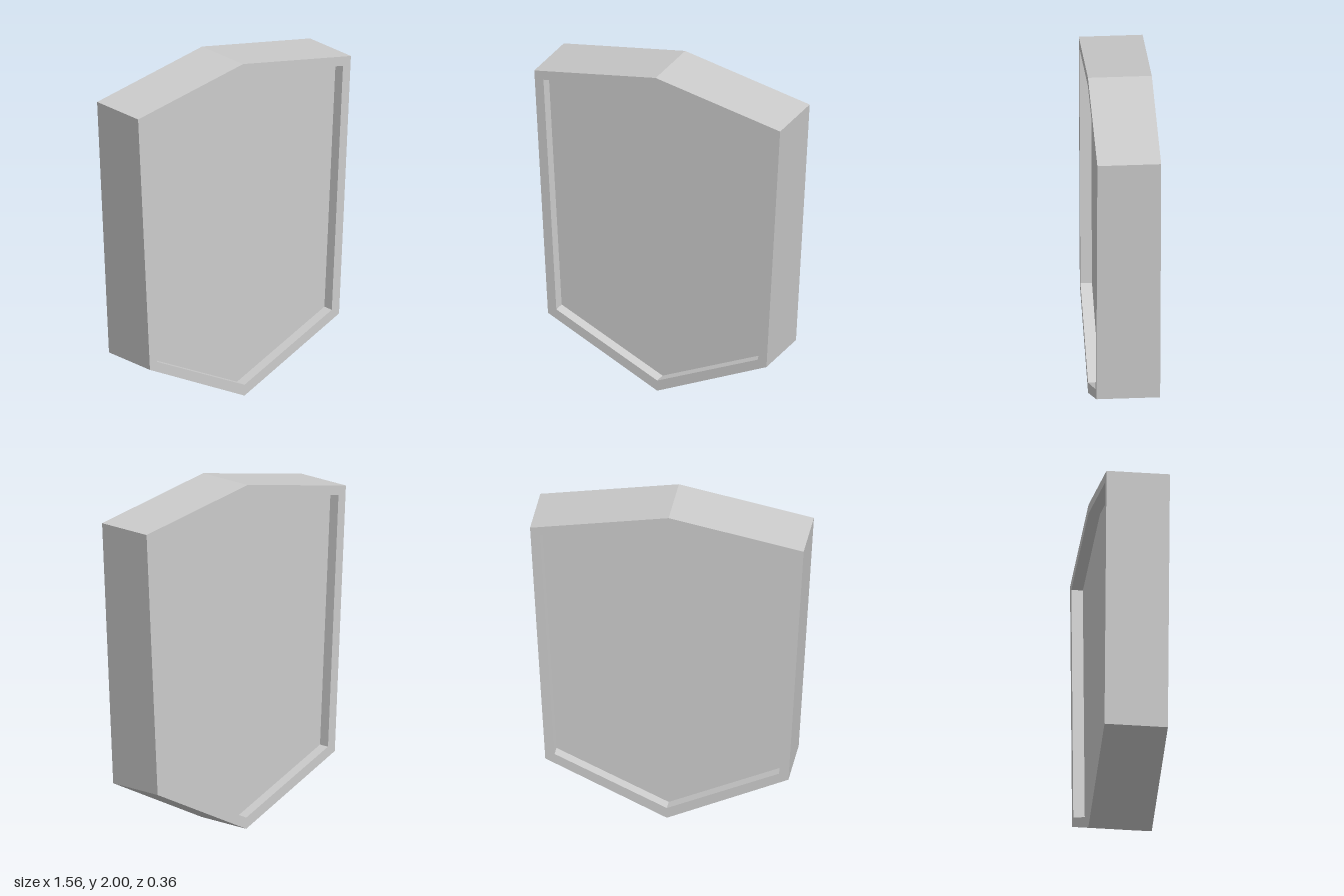
import * as THREE from 'three';

const DEPTH = 0.36;
const RECESS = 0.065;

// Outlines run counter-clockwise from the bottom point
const OUTER = [[0, 0], [0.693, 0.325], [0.78, 1.855], [-0.01, 2], [-0.78, 1.855], [-0.693, 0.325]];
const INNER = [[0, 0.065], [0.64, 0.36], [0.722, 1.81], [-0.01, 1.945], [-0.722, 1.81], [-0.64, 0.36]];

const toPoints = (list) => list.map(([x, y]) => new THREE.Vector2(x, y));

// Extrudes a shape evenly to both sides of z = 0
function slab(name, shape, depth) {
  const geometry = new THREE.ExtrudeGeometry(shape, { depth, bevelEnabled: false });
  geometry.translate(0, 0, -depth / 2);
  const material = new THREE.MeshStandardMaterial({ color: 0xcccccc, flatShading: true });
  const mesh = new THREE.Mesh(geometry, material);
  mesh.name = name;
  return mesh;
}

export function createModel() {
  const model = new THREE.Group();
  model.name = 'shieldPlaque';

  // Raised rim around both faces
  const rim = new THREE.Shape(toPoints(OUTER));
  rim.holes.push(new THREE.Path(toPoints(INNER).reverse()));
  model.add(slab('rim', rim, DEPTH));

  // Sunken panel, visible on the front and the back
  model.add(slab('panel', new THREE.Shape(toPoints(INNER)), DEPTH - 2 * RECESS));

  return model;
}
